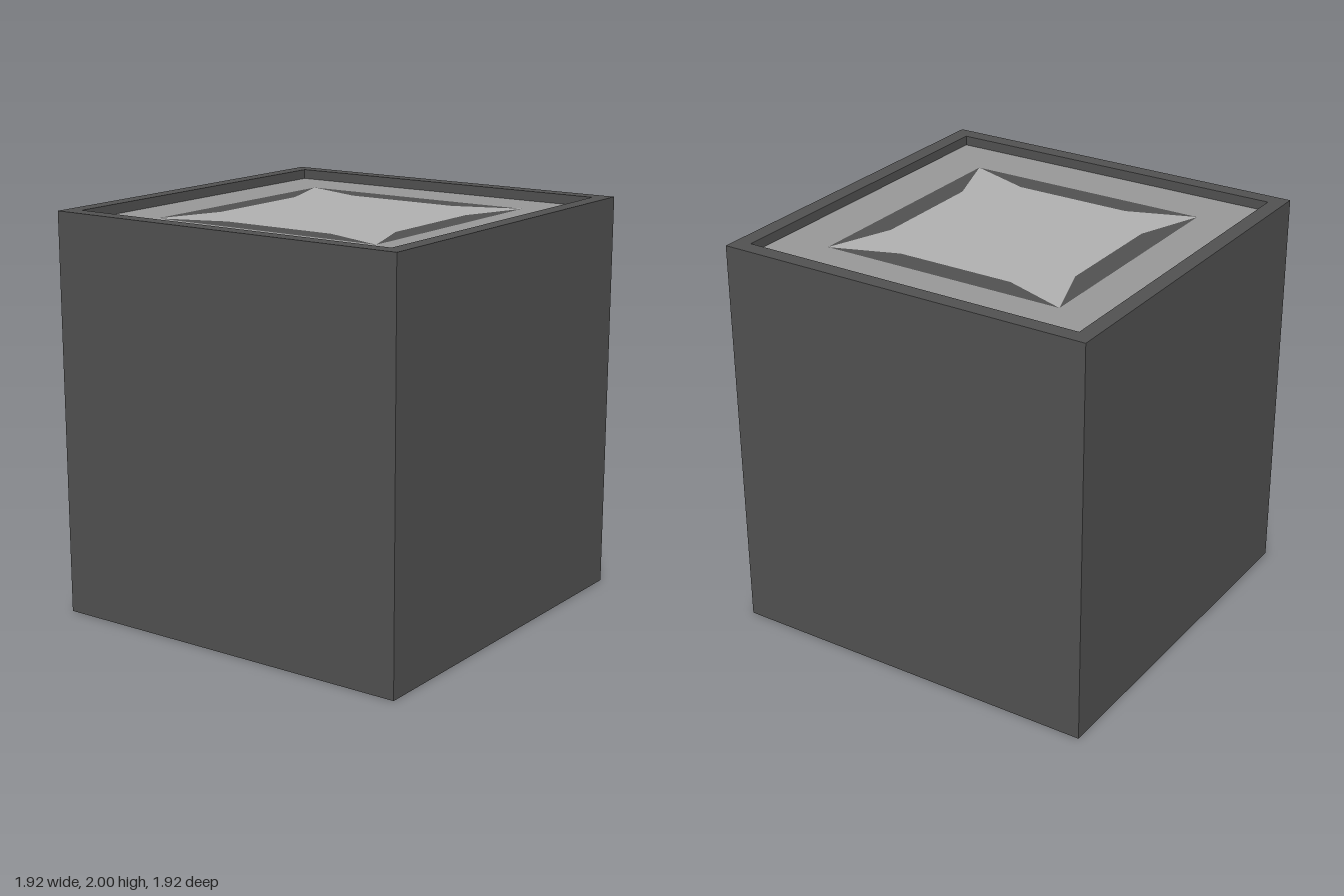
import * as THREE from 'three';

const HALF = 0.96, RIM = 0.88, FLOOR = 1.952; // outer half width, recess half width, recess floor height
const TIP = 0.63, INNER = 0.51, SHORT = 0.3;  // star tip, inlay inner edge, half of the inlay's short edge

const material = (color) => new THREE.MeshStandardMaterial({ color, flatShading: true });

function createModel() {
  const model = new THREE.Group();
  const dark = material(0x525252);
  const mid = material(0x999999);
  const light = material(0xb2b2b2);

  const add = (name, geometry, mat) => {
    const mesh = new THREE.Mesh(geometry, mat);
    mesh.name = name;
    model.add(mesh);
    return mesh;
  };
  const shapeOf = (points) => new THREE.Shape(points.map(([x, y]) => new THREE.Vector2(x, y)));
  const square = (r) => [[-r, -r], [r, -r], [r, r], [-r, r]];
  // flat shape laid on the recess floor, facing up
  const lay = (shape) => new THREE.ShapeGeometry(shape).rotateX(-Math.PI / 2).translate(0, FLOOR, 0);

  // square block with a raised rim: a four-sided lathe of its profile
  const profile = [[0, 0], [HALF, 0], [HALF, 2], [RIM, 2], [RIM, FLOOR]]
    .map(([x, y]) => new THREE.Vector2(x * Math.SQRT2, y));
  add('block', new THREE.LatheGeometry(profile, 4, Math.PI / 4), dark);

  // sunken border panel around the star
  const border = shapeOf(square(RIM));
  border.holes.push(shapeOf(square(TIP)));
  add('borderPanel', lay(border), mid);

  // four-pointed centre panel
  const star = [];
  for (let i = 0; i < 4; i++) {
    const c = Math.round(Math.cos(i * Math.PI / 2)), s = Math.round(Math.sin(i * Math.PI / 2));
    for (const [x, y] of [[-TIP, -TIP], [-SHORT, -INNER], [SHORT, -INNER]]) {
      star.push([x * c - y * s, x * s + y * c]);
    }
  }
  add('starPanel', lay(shapeOf(star)), light);

  // dark tapered inlays, one along each side of the star
  const inlay = lay(shapeOf([[-TIP, -TIP], [TIP, -TIP], [SHORT, -INNER], [-SHORT, -INNER]]));
  for (let i = 0; i < 4; i++) add('inlay' + (i + 1), inlay, dark).rotation.y = i * Math.PI / 2;

  return model;
}

export { createModel };
